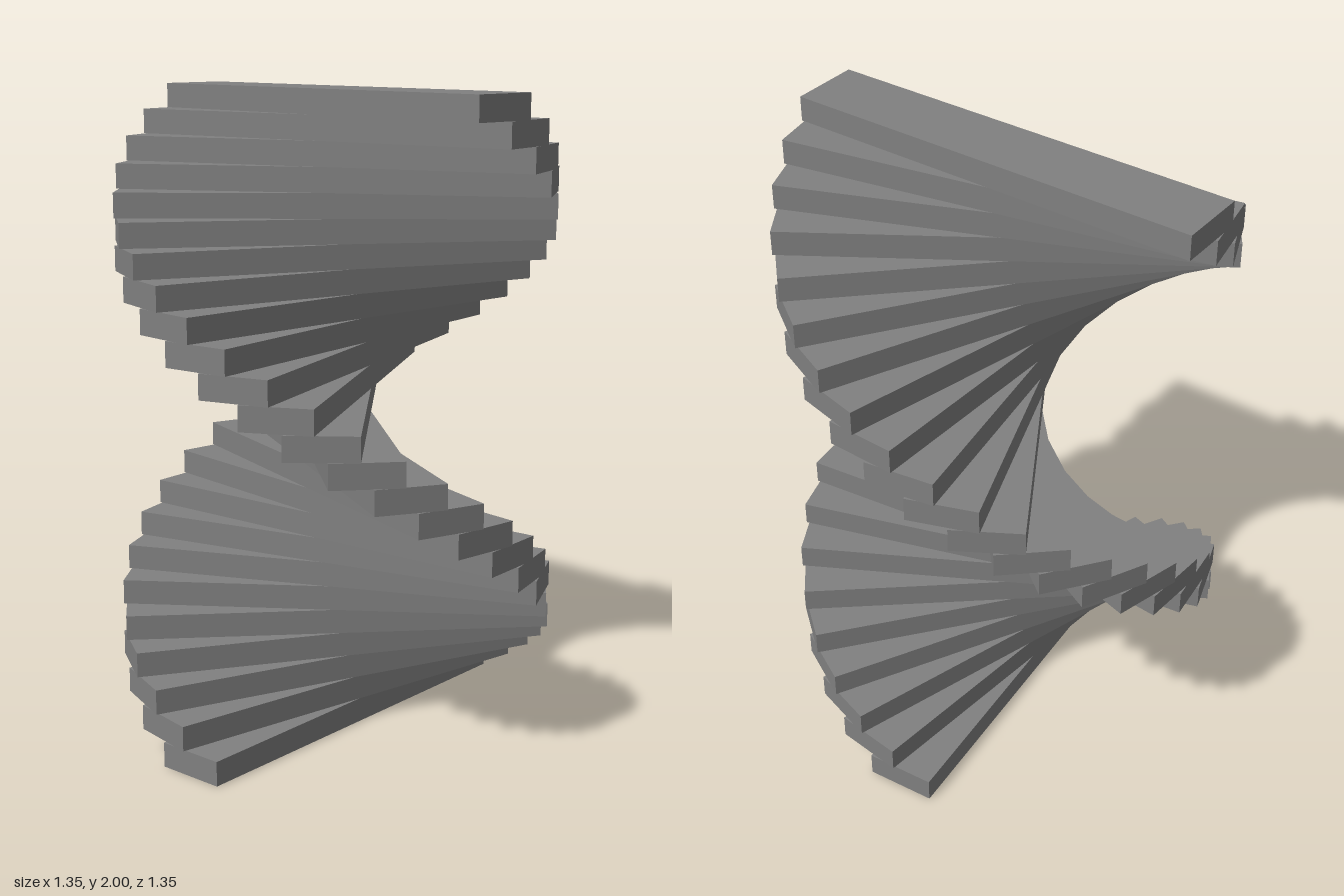
import * as THREE from 'three';

// Twisted tower: identical slabs stacked and turned by a constant angle
export function createModel() {
  const group = new THREE.Group();
  group.name = 'twistedSlabStack';

  const count = 26;
  const height = 2 / count;
  const step = THREE.MathUtils.degToRad(11);
  const slab = new THREE.BoxGeometry(1.333, height, 0.22);
  const material = new THREE.MeshStandardMaterial({ color: 0x808080 });

  // The lowest slab runs front to back; each one above turns clockwise seen from the top
  for (let i = 0; i < count; i++) {
    const mesh = new THREE.Mesh(slab, material);
    mesh.name = `slab${i + 1}`;
    mesh.position.y = (i + 0.5) * height;
    mesh.rotation.y = Math.PI / 2 - i * step;
    group.add(mesh);
  }
  return group;
}
